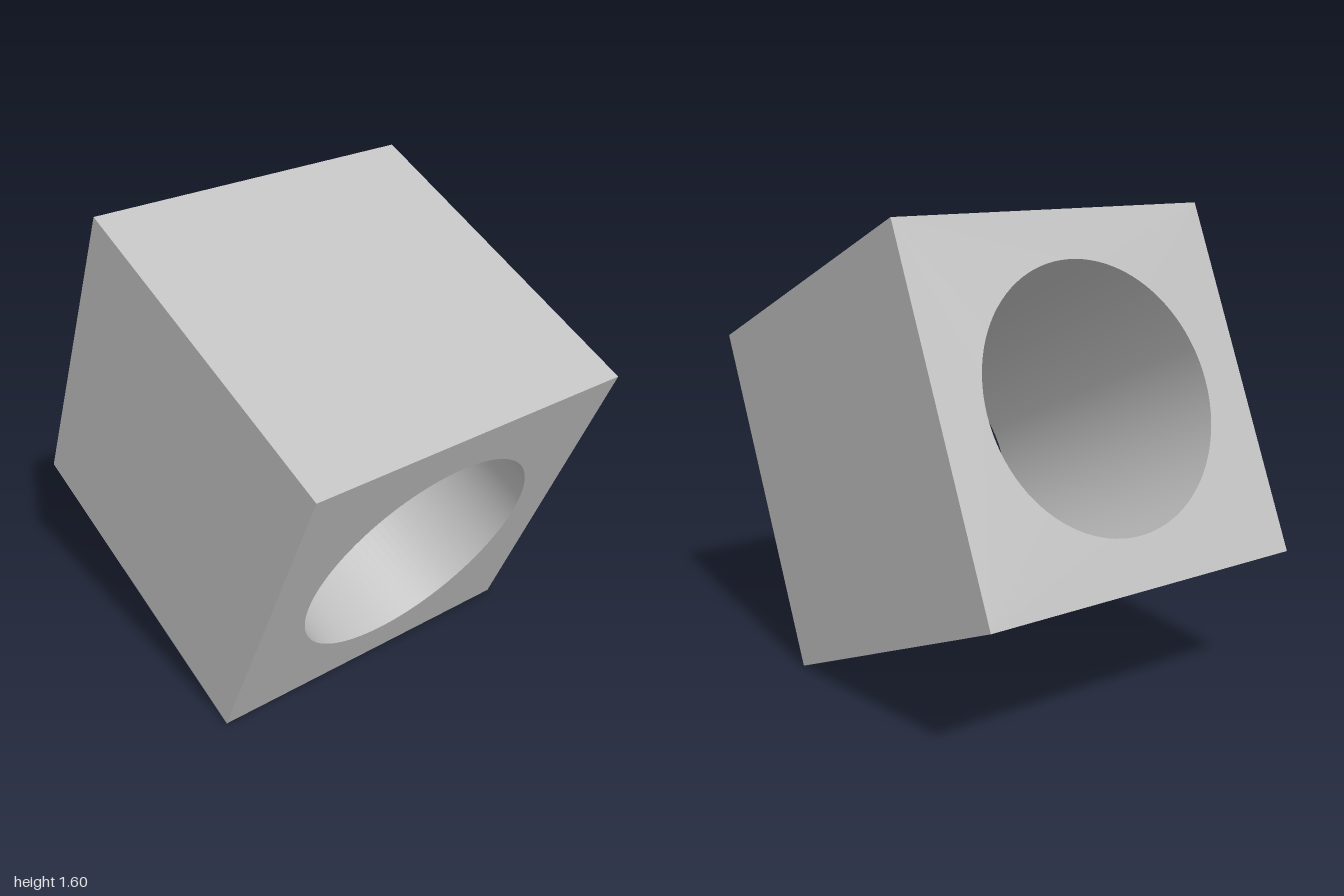
import * as THREE from 'three';
import { toCreasedNormals } from 'three/addons/utils/BufferGeometryUtils.js';

const EDGE = 1.22;   // cube edge
const BORE = 0.445;  // hole radius

export function createModel() {
  const model = new THREE.Group();
  const grey = new THREE.MeshStandardMaterial({ color: 0xc0c0c0 });
  grey.name = 'plain grey';

  // Square outline with a round hole, extruded to a cube
  const h = EDGE / 2;
  const outline = new THREE.Shape();
  outline.moveTo(-h, -h).lineTo(h, -h).lineTo(h, h).lineTo(-h, h).closePath();
  const hole = new THREE.Path();
  hole.absarc(0, 0, BORE, 0, Math.PI * 2, true);
  outline.holes.push(hole);

  const extruded = new THREE.ExtrudeGeometry(outline, {
    depth: EDGE, bevelEnabled: false, curveSegments: 48,
  });
  extruded.translate(0, 0, -h);

  // Smooth bore, sharp cube edges
  const block = new THREE.Mesh(toCreasedNormals(extruded, Math.PI / 6), grey);
  block.name = 'boredCube';

  // Tipped forward, turned aside, resting on its lowest edge
  block.rotation.set(0.409, Math.PI / 6, 0, 'YXZ');
  block.position.y = h * (Math.sin(0.409) + Math.cos(0.409));
  model.add(block);
  return model;
}
